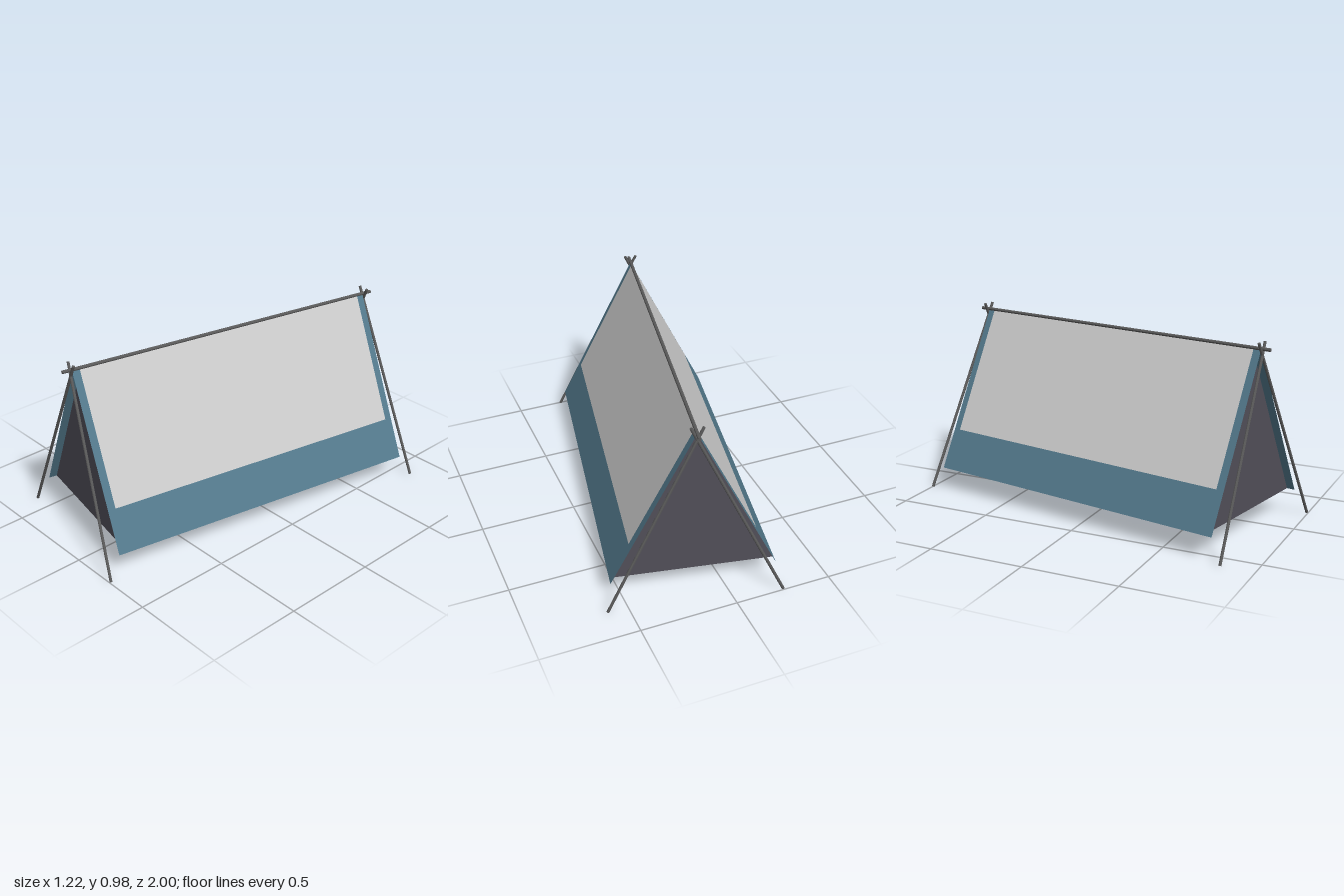
import * as THREE from 'three';

const mat = (color) => new THREE.MeshStandardMaterial({ color, side: THREE.DoubleSide, flatShading: true });

// Flat sheet from its corners, as a fan
function sheet(name, corners, material) {
  const g = new THREE.BufferGeometry();
  g.setAttribute('position', new THREE.Float32BufferAttribute(corners.flat(), 3));
  const index = [];
  for (let i = 1; i < corners.length - 1; i++) index.push(0, i, i + 1);
  g.setIndex(index);
  g.computeVertexNormals();
  const m = new THREE.Mesh(g, material);
  m.name = name;
  return m;
}

// Round pole between two points
function pole(name, a, b, radius, material) {
  const from = new THREE.Vector3(...a), to = new THREE.Vector3(...b);
  const dir = to.clone().sub(from);
  const m = new THREE.Mesh(new THREE.CylinderGeometry(radius, radius, dir.length(), 8), material);
  m.name = name;
  m.position.copy(from).add(to).multiplyScalar(0.5);
  m.quaternion.setFromUnitVectors(new THREE.Vector3(0, 1, 0), dir.normalize());
  return m;
}

export function createModel() {
  const cloth = mat(0x53798c), patch = mat(0xcccccc), dark = mat(0x514f59), wood = mat(0x5a5a5a);
  const root = new THREE.Group();
  root.name = 'tent';
  const tent = new THREE.Group();
  tent.name = 'tentBody';
  tent.rotation.y = -0.19; // the tent stands slightly turned
  root.add(tent);

  const W = 0.41, L = 0.864, base = 0.12, apex = 0.94, inner = 0.82;

  // Sloping roof sides, each with a pale panel lying just on top
  for (const s of [1, -1]) {
    const side = s > 0 ? 'left' : 'right';
    const slope = (x, y, z) => [s * x, y, s * z];
    tent.add(sheet(side + 'Roof',
      [slope(W, base, L), slope(W, base, -L), slope(0, apex, -L), slope(0, apex, L)], cloth));
    const panel = sheet(side + 'RoofPanel',
      [slope(0.31, 0.32, 0.825), slope(0.31, 0.32, -0.825), slope(0, apex, -0.825), slope(0, apex, 0.825)], patch);
    panel.position.set(s * 0.0025, 0.0012, 0);
    tent.add(panel);
  }

  // Floor
  tent.add(sheet('floor', [[-W, base, -inner], [W, base, -inner], [W, base, inner], [-W, base, inner]], cloth));

  // End walls, set back from the roof edge, and crossed legs
  for (const s of [1, -1]) {
    const end = s > 0 ? 'front' : 'back';
    tent.add(sheet(end + 'Wall', [[-s * W, base, s * inner], [s * W, base, s * inner], [0, apex, s * inner]], dark));
    for (const k of [1, -1]) {
      tent.add(pole(end + (k > 0 ? 'Left' : 'Right') + 'Leg',
        [k * 0.435, 0.003, s * 0.928], [-k * 0.03, 0.977, s * 0.868], 0.0075, wood));
    }
  }

  // Ridge pole
  tent.add(pole('ridgePole', [0, 0.945, -0.915], [0, 0.945, 0.915], 0.009, wood));
  return root;
}
